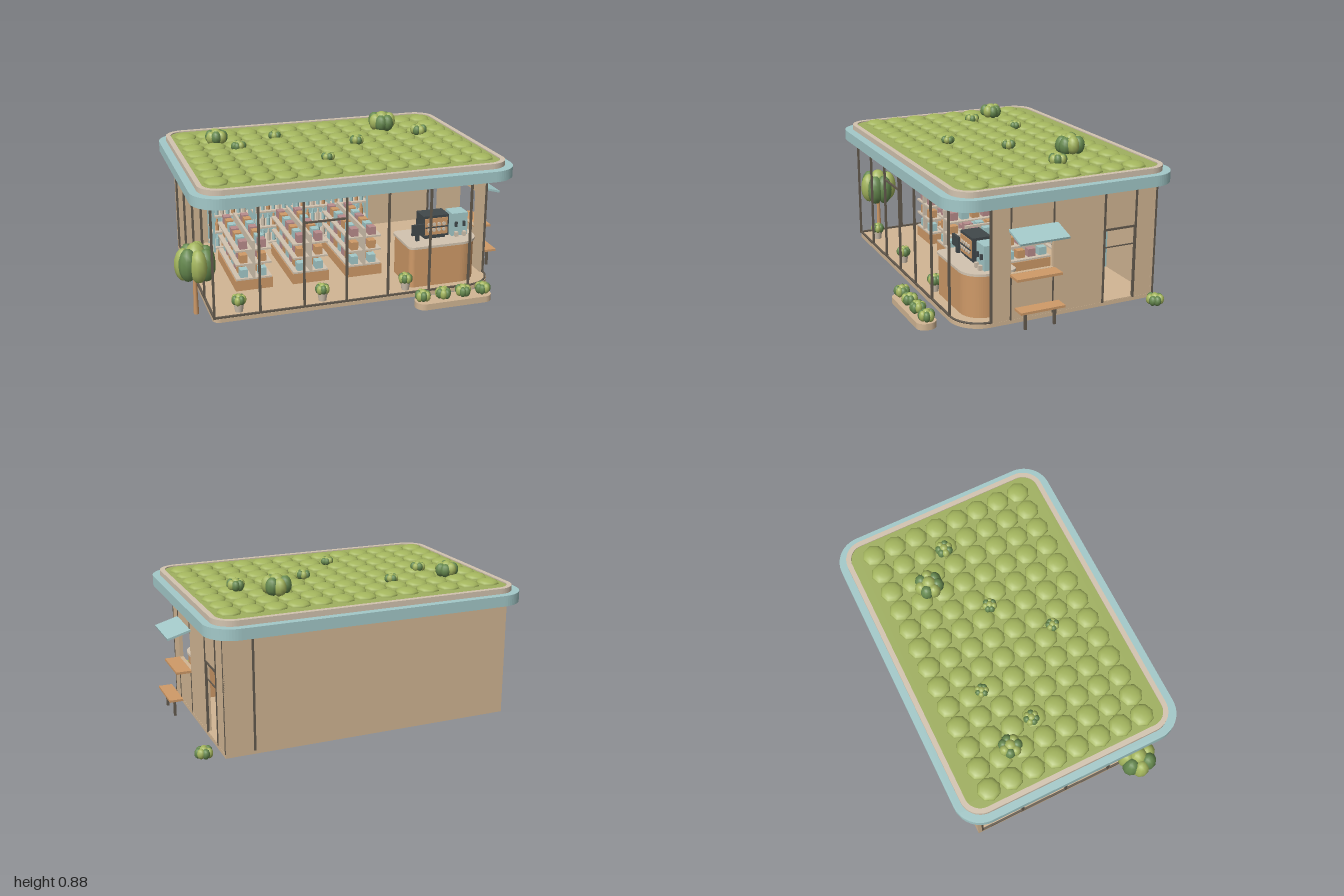
import * as THREE from 'three';

const mat = (name, color) => Object.assign(new THREE.MeshStandardMaterial({ color }), { name });
const M = {
  teal: mat('teal paint', 0xa3c9c9), wall: mat('sand wall', 0xd2b694), cream: mat('cream', 0xd3c4b0),
  wood: mat('warm wood', 0xcf9a68), grass: mat('roof grass', 0xa0b060), leaf: mat('light leaf', 0xa4b65e),
  dark: mat('dark leaf', 0x66894f), frame: mat('bronze frame', 0x635a4e), black: mat('charcoal', 0x41484b),
  pink: mat('dusty pink', 0xb98c8c),
};

export function createModel() {
  const root = new THREE.Group();
  let parent = root;
  const group = (name) => {
    parent = new THREE.Group();
    parent.name = name;
    root.add(parent);
    return parent;
  };
  const add = (name, geo, m, x = 0, y = 0, z = 0) => {
    const mesh = new THREE.Mesh(geo, m);
    mesh.name = name;
    mesh.position.set(x, y, z);
    parent.add(mesh);
    return mesh;
  };
  // box given by its bounds
  const box = (name, m, x0, x1, y0, y1, z0, z1) =>
    add(name, new THREE.BoxGeometry(x1 - x0, y1 - y0, z1 - z0), m, (x0 + x1) / 2, (y0 + y1) / 2, (z0 + z1) / 2);
  const post = (name, x, z, y0 = 0.02, y1 = 0.68, t = 0.012) =>
    box(name, M.frame, x - t / 2, x + t / 2, y0, y1, z - t / 2, z + t / 2);
  // rounded outline; radii: front left, front right, back right, back left as drawn from above
  const outline = (x0, x1, z0, z1, [a, b, c, d], S = THREE.Shape) => {
    const s = new S(), f = -z1, k = -z0, P = Math.PI;
    s.moveTo(x0 + a, f);
    s.lineTo(x1 - b, f);
    if (b) s.absarc(x1 - b, f + b, b, -P / 2, 0, false);
    s.lineTo(x1, k - c);
    if (c) s.absarc(x1 - c, k - c, c, 0, P / 2, false);
    s.lineTo(x0 + d, k);
    if (d) s.absarc(x0 + d, k - d, d, P / 2, P, false);
    s.lineTo(x0, f + a);
    if (a) s.absarc(x0 + a, f + a, a, P, 1.5 * P, false);
    return s;
  };
  const slab = (name, m, shape, y0, y1) => {
    const g = new THREE.ExtrudeGeometry(shape, { depth: y1 - y0, bevelEnabled: false, curveSegments: 8 });
    return add(name, g.rotateX(-Math.PI / 2), m, 0, y0, 0);
  };
  // leafy cluster: a tall core ringed by lobes of two greens
  const lobe = new THREE.SphereGeometry(1, 10, 8);
  const bush = (x, y, z, r, h, turn = 0) => {
    const ball = (m, px, py, pz, s, sy) => add('leafLobe', lobe, m, px, py, pz).scale.set(s, sy, s);
    ball(M.leaf, x, y + h * 0.55, z, r * 0.55, h * 0.45);
    for (let i = 0; i < 7; i++) {
      const a = turn + (i / 7) * Math.PI * 2;
      ball(i % 2 ? M.leaf : M.dark, x + Math.cos(a) * r * 0.56, y + h * (0.45 + 0.03 * (i % 3)),
        z + Math.sin(a) * r * 0.56, r * 0.45, h * 0.42);
    }
  };

  // floor plate and walls
  group('shell');
  slab('floorPlate', M.wall, outline(-0.826, 0.853, -0.64, 0.531, [0.04, 0.17, 0, 0]), 0, 0.022);
  box('backWall', M.wall, -0.826, 0.853, 0.02, 0.68, -0.64, -0.615);
  post('backSeam', 0.69, -0.638);
  const side = outline(-0.361, 0.64, -0.68, -0.02, [0, 0, 0, 0]);
  const hole = (z0, z1, y0, y1) => side.holes.push(outline(-z1, -z0, -y1, -y0, [0, 0, 0, 0], THREE.Path));
  hole(0, 0.25, 0.28, 0.5);
  hole(-0.505, -0.31, 0.026, 0.44);
  const sideGeo = new THREE.ExtrudeGeometry(side, { depth: 0.022, bevelEnabled: false }).rotateY(Math.PI / 2);
  add('rightWall', sideGeo, M.wall, 0.83, 0, 0);
  for (const z of [0.25, 0]) {
    post('wallSeam', 0.85, z, 0.02, 0.27, 0.009);
    post('wallSeam', 0.85, z, 0.5, 0.68, 0.009);
  }
  for (const z of [-0.31, -0.505]) post('doorJamb', 0.85, z);
  box('doorHead', M.frame, 0.84, 0.857, 0.433, 0.445, -0.51, -0.305);
  box('doorRail', M.frame, 0.842, 0.848, 0.332, 0.338, -0.505, -0.31);

  // slim window posts and rails
  group('glazingFrame');
  for (const x of [-0.82, -0.564, -0.313, -0.067, 0.179, 0.43, 0.676]) post('frontPost', x, 0.523);
  for (const z of [-0.61, -0.34, -0.05, 0.24]) post('leftPost', -0.82, z);
  post('cornerPost', 0.847, 0.361);
  post('backCornerPost', 0.848, -0.634);
  box('frontDoorTransom', M.frame, -0.313, -0.067, 0.515, 0.525, 0.518, 0.528);
  for (const y of [0.022, 0.663]) {
    box('frontRail', M.frame, -0.82, 0.676, y, y + 0.01, 0.517, 0.529);
    box('leftRail', M.frame, -0.826, -0.814, y, y + 0.01, -0.62, 0.523);
    add('curvedRail', new THREE.TorusGeometry(0.166, 0.006, 6, 12, Math.PI / 2).rotateX(Math.PI / 2),
      M.frame, 0.681, y + 0.005, 0.359);
  }

  // roof with planted top
  group('roof');
  slab('roofSlab', M.teal, outline(-0.917, 0.938, -0.733, 0.615, [0.16, 0.16, 0.16, 0.16]), 0.672, 0.733);
  const curb = outline(-0.874, 0.896, -0.69, 0.566, [0.12, 0.12, 0.12, 0.12]);
  curb.holes.push(outline(-0.845, 0.867, -0.661, 0.537, [0.09, 0.09, 0.09, 0.09], THREE.Path));
  slab('roofCurb', M.cream, curb, 0.733, 0.764);
  slab('roofSoil', M.grass, outline(-0.845, 0.867, -0.661, 0.537, [0.09, 0.09, 0.09, 0.09]), 0.733, 0.758);
  const dome = new THREE.SphereGeometry(0.068, 8, 4, 0, Math.PI * 2, 0, Math.PI / 2).scale(1, 0.4, 1);
  for (let i = 0; i < 13; i++)
    for (let j = 0; j < 8; j++) add('sedumMound', dome, M.leaf, -0.762 + i * 0.1283, 0.757, -0.524 + j * 0.1337);
  const roofBushes = [[-0.61, -0.32, 0.068, 0.855], [-0.253, -0.32, 0.04, 0.815], [0.44, -0.32, 0.085, 0.885],
    [-0.515, -0.145, 0.045, 0.822], [0.185, -0.06, 0.043, 0.822], [0.617, -0.145, 0.052, 0.835], [-0.077, 0.208, 0.04, 0.813]];
  roofBushes.forEach(([x, z, r, top], i) => bush(x, 0.762, z, r, top - 0.762, i));

  // serving window on the right side
  group('servingWindow');
  const awning = box('awning', M.teal, -0.07, 0.07, -0.006, 0.006, -0.023, 0.264);
  awning.position.set(0.918, 0.503, 0.12);
  awning.rotation.z = -0.28;
  box('servingShelf', M.wood, 0.83, 0.94, 0.265, 0.279, -0.01, 0.255);
  box('bench', M.wood, 0.907, 0.985, 0.1, 0.113, -0.005, 0.255);
  for (const z of [0.212, 0.04]) post('benchLeg', 0.947, z, 0, 0.1, 0.014);

  // tall wall shelves with bottles
  group('wallShelves');
  const bottle = new THREE.CylinderGeometry(0.012, 0.012, 0.05, 8);
  const neck = new THREE.CylinderGeometry(0.005, 0.009, 0.026, 8);
  for (let u = 0; u < 4; u++) {
    const x0 = -0.632 + u * 0.2625, x1 = x0 + 0.242;
    box('shelfBack', M.teal, x0, x1, 0.022, 0.49, -0.615, -0.6);
    box('shelfTop', M.teal, x0, x1, 0.47, 0.5, -0.6, -0.43);
    for (const x of [x0, x1 - 0.012]) {
      box('shelfFrontPost', M.teal, x, x + 0.012, 0.022, 0.47, -0.442, -0.43);
      box('shelfMidPost', M.teal, x, x + 0.012, 0.022, 0.47, -0.51, -0.5);
    }
    [0.05, 0.155, 0.26, 0.37].forEach((y, k) => {
      box('shelfBoard', M.cream, x0, x1, y - 0.01, y, -0.6, -0.435);
      for (let i = 0; i < 6; i++) {
        const m = [M.teal, M.wood, M.teal, M.cream][(i + k + u) % 4], x = x0 + 0.034 + i * 0.035;
        add('bottle', bottle, m, x, y + 0.025, -0.47);
        add('bottleNeck', neck, m, x, y + 0.063, -0.47);
      }
    });
  }

  // low display aisles running front to back
  group('displayAisles');
  for (const cx of [-0.52, -0.18, 0.15]) {
    box('aisleBase', M.wood, cx - 0.11, cx + 0.11, 0.022, 0.085, -0.31, 0.2);
    box('aisleSpine', M.cream, cx - 0.008, cx + 0.008, 0.085, 0.32, -0.31, 0.2);
    [0.27, 0.185, 0.095].forEach((y, k) => {
      box('aisleShelf', M.cream, cx - 0.105, cx + 0.105, y - 0.01, y, -0.31, 0.2);
      for (let i = 0; i < 7; i++)
        for (const s of [-1, 1])
          box('packet', [M.pink, M.teal, M.wood][(i + 2 * k) % 3], cx + s * 0.055 - 0.022, cx + s * 0.055 + 0.022,
            y, y + 0.048, 0.135 - i * 0.072, 0.185 - i * 0.072);
    });
  }

  // counter with machines
  group('counter');
  slab('counterBody', M.wood, outline(0.34, 0.775, 0.18, 0.455, [0.03, 0.12, 0.03, 0.03]), 0.022, 0.258);
  slab('counterTop', M.cream, outline(0.333, 0.782, 0.173, 0.462, [0.035, 0.125, 0.035, 0.035]), 0.258, 0.272);
  box('coffeeMachine', M.black, 0.455, 0.615, 0.285, 0.415, 0.25, 0.36);
  box('coffeeMachineFoot', M.black, 0.47, 0.6, 0.272, 0.285, 0.26, 0.35);
  box('coffeeFront', M.wood, 0.465, 0.605, 0.3, 0.4, 0.36, 0.366);
  const knob = new THREE.CylinderGeometry(0.011, 0.011, 0.008, 10).rotateX(Math.PI / 2);
  for (let i = 0; i < 4; i++)
    for (const y of [0.33, 0.365]) add('cupKnob', knob, M.cream, 0.488 + i * 0.031, y, 0.368);
  box('coffeeBar', M.black, 0.465, 0.605, 0.344, 0.35, 0.366, 0.372);
  box('dispenser', M.teal, 0.64, 0.74, 0.272, 0.41, 0.25, 0.35);
  for (const x of [0.665, 0.715]) {
    box('dispenserSpout', M.black, x - 0.007, x + 0.007, 0.33, 0.36, 0.35, 0.362);
    box('dispenserCup', M.cream, x - 0.01, x + 0.01, 0.272, 0.3, 0.352, 0.372);
  }
  box('screen', M.black, 0.378, 0.458, 0.31, 0.375, 0.365, 0.378);
  box('screenStand', M.black, 0.408, 0.428, 0.272, 0.312, 0.35, 0.37);

  // potted plants by the glass
  group('pottedPlants');
  for (const x of [-0.67, -0.19, 0.31]) {
    add('pot', new THREE.CylinderGeometry(0.03, 0.022, 0.05, 12), M.cream, x, 0.047, 0.46);
    bush(x, 0.06, 0.46, 0.042, 0.065, x);
  }

  // outdoor planting
  group('outdoorPlants');
  slab('planterBox', M.wall, outline(0.29, 0.745, 0.61, 0.722, [0.05, 0.05, 0.05, 0.05]), 0, 0.036);
  for (let i = 0; i < 4; i++) bush(0.335 + i * 0.122, 0.033, 0.664, 0.046, 0.07, i);
  bush(0.955, 0, -0.585, 0.05, 0.068, 1);
  add('treeTrunk', new THREE.CylinderGeometry(0.01, 0.015, 0.25, 8), M.wood, -0.892, 0.125, 0.375);
  bush(-0.885, 0.195, 0.375, 0.115, 0.225, 0.6);

  return root;
}
